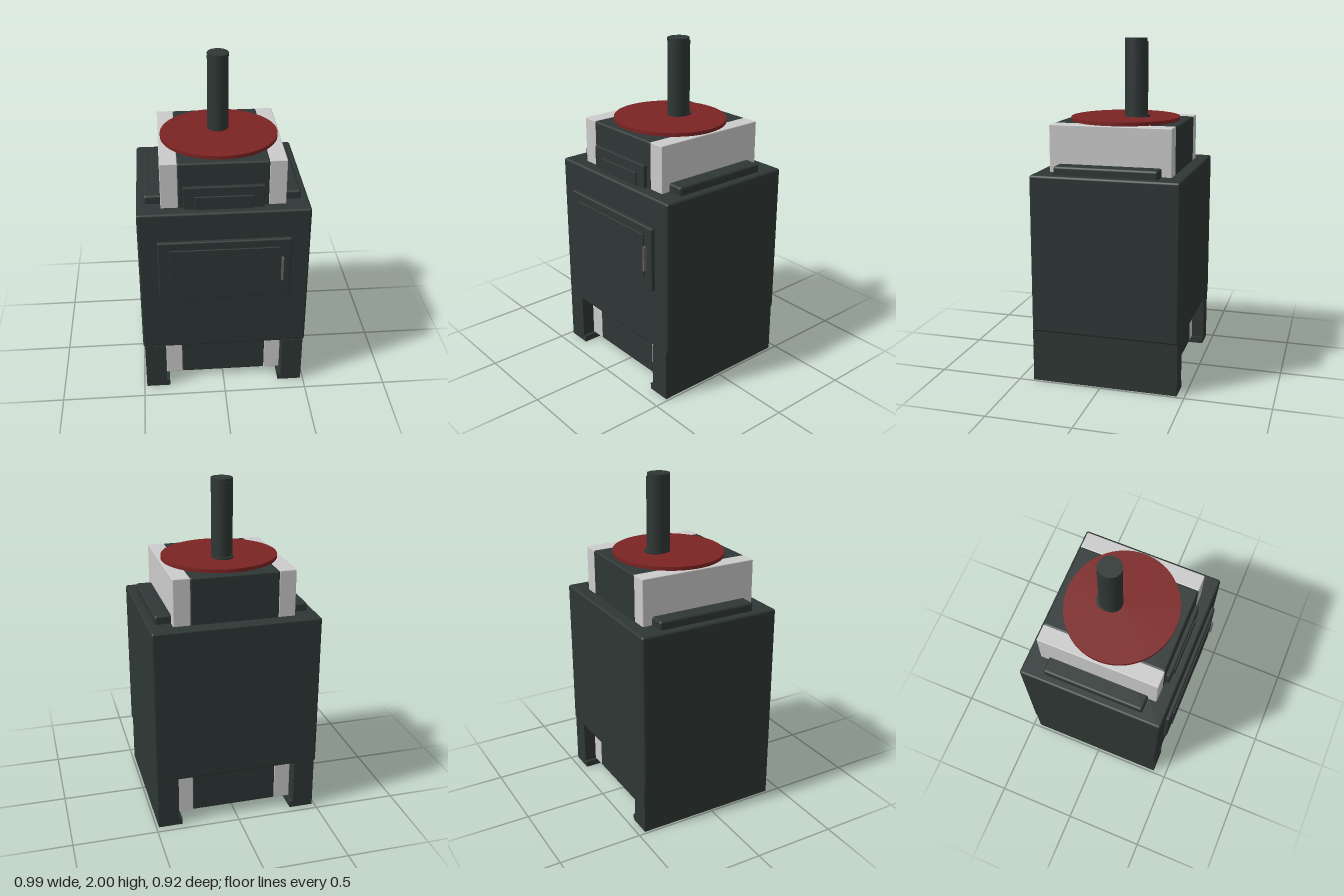
import * as THREE from 'three';
import { RoundedBoxGeometry } from 'three/addons/geometries/RoundedBoxGeometry.js';

const material = (name, color) => {
  const m = new THREE.MeshStandardMaterial({ color });
  m.name = name;
  return m;
};

export function createModel() {
  const model = new THREE.Group();
  const dark = material('dark slate', 0x2e3735);
  const pale = material('pale grey', 0xcbcbcb);
  const red = material('dark red', 0x7c2323);
  const metal = material('handle grey', 0x686462);

  // Box given by its limits, with softly rounded edges when r > 0
  function box(name, mat, [x0, x1], [y0, y1], [z0, z1], r = 0) {
    const size = [x1 - x0, y1 - y0, z1 - z0];
    const geo = r ? new RoundedBoxGeometry(...size, 2, r) : new THREE.BoxGeometry(...size);
    const mesh = new THREE.Mesh(geo, mat);
    mesh.name = name;
    mesh.position.set((x0 + x1) / 2, (y0 + y1) / 2, (z0 + z1) / 2);
    model.add(mesh);
  }

  // Upright cylinder, optionally squashed along z
  function disc(name, mat, rx, rz, y0, y1, z) {
    const mesh = new THREE.Mesh(new THREE.CylinderGeometry(rx, rx, y1 - y0, 64), mat);
    mesh.name = name;
    mesh.scale.z = rz / rx;
    mesh.position.set(0, (y0 + y1) / 2, z);
    model.add(mesh);
  }

  // Main housing and inner core
  box('housing', dark, [-0.495, 0.495], [0.31, 1.245], [-0.46, 0.415], 0.014);
  box('core', dark, [-0.26, 0.26], [0.04, 1.52], [-0.385, 0.34], 0.012);
  box('shoulderPlate', dark, [-0.45, 0.45], [1.2, 1.295], [-0.325, 0.285], 0.014);

  // Pale side slabs and feet, mirrored
  for (const s of [-1, 1]) {
    const span = (a, b) => (s > 0 ? [a, b] : [-b, -a]);
    box('sideSlab', pale, span(0.257, 0.357), [0.04, 1.52], [-0.383, 0.338], 0.005);
    box('foot', dark, span(0.36, 0.485), [0, 0.312], [-0.455, 0.415]);
    box('footLip', dark, span(0.34, 0.362), [0, 0.038], [-0.455, 0.415]);
  }

  // Front door with raised panel and handle
  box('door', dark, [-0.385, 0.385], [0.68, 1.07], [0.4, 0.438], 0.009);
  box('doorPanel', dark, [-0.32, 0.32], [0.755, 1.02], [0.42, 0.446], 0.003);
  box('doorHandle', metal, [0.328, 0.34], [0.8, 0.95], [0.43, 0.457]);

  // Stepped plate on the front of the core
  box('upperPlate', dark, [-0.23, 0.23], [1.2, 1.38], [0.33, 0.364], 0.004);
  box('upperPanel', dark, [-0.165, 0.165], [1.2, 1.325], [0.34, 0.373], 0.003);

  // Red discs on the top and underside
  disc('topDisc', red, 0.344, 0.324, 1.515, 1.541, -0.021);
  disc('bottomDisc', red, 0.344, 0.324, 0.036, 0.05, -0.021);

  // Chimney with base collar and cap
  disc('chimneyCollar', dark, 0.063, 0.072, 1.53, 1.552, -0.1);
  disc('chimney', dark, 0.062, 0.069, 1.53, 1.98, -0.087);
  disc('chimneyCap', dark, 0.062, 0.066, 1.98, 2, -0.084);

  return model;
}
